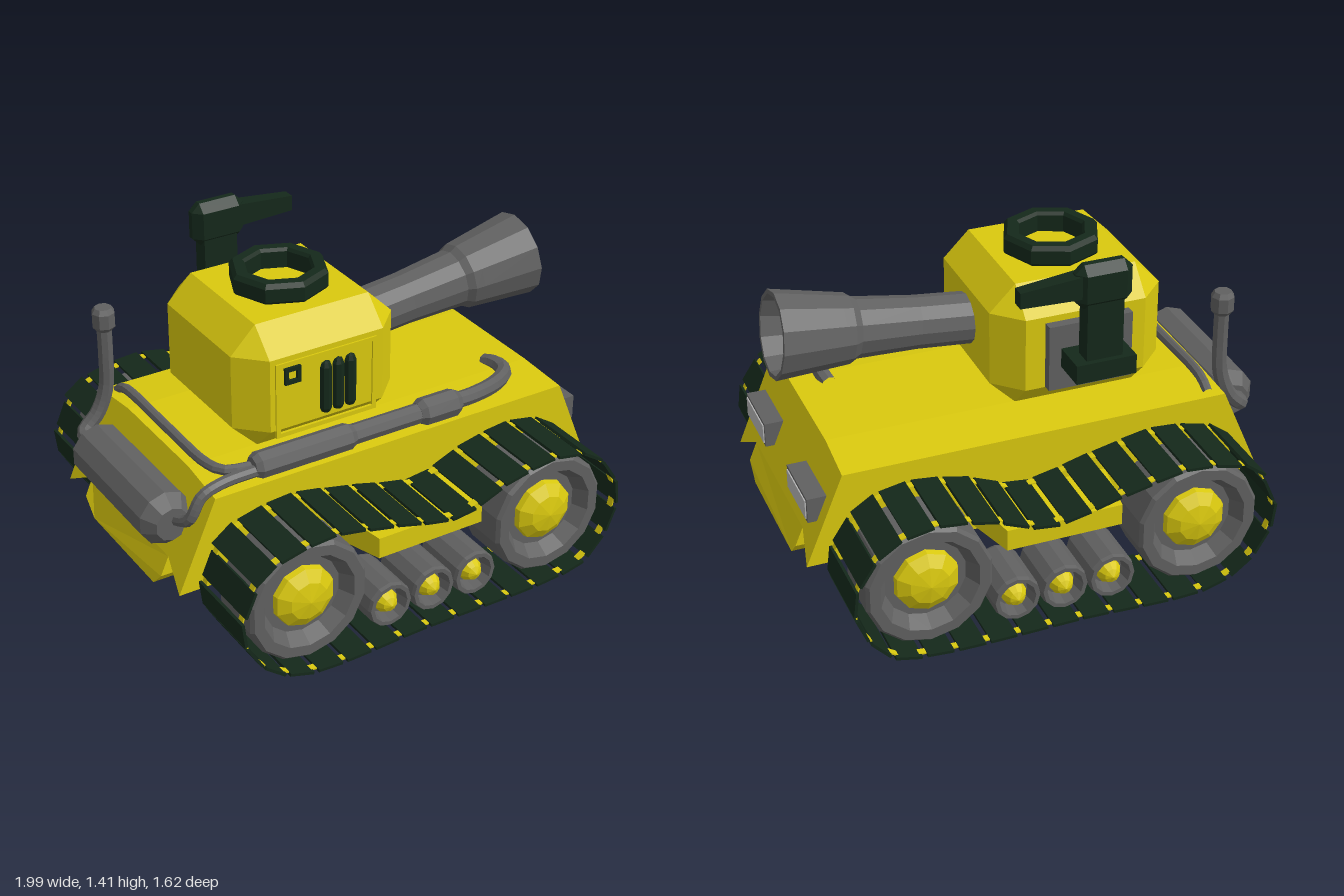
import * as THREE from 'three';
import { mergeGeometries } from 'three/addons/utils/BufferGeometryUtils.js';
import { ConvexGeometry } from 'three/addons/geometries/ConvexGeometry.js';

const V = (x, y, z) => new THREE.Vector3(x, y, z);
const paint = (color, side = THREE.FrontSide) =>
  new THREE.MeshStandardMaterial({ color, flatShading: true, side });
const YELLOW = paint(0xd9c80e), GREEN = paint(0x14281a), GREY = paint(0x606060), LAMP = paint(0xb4b4b4);
const PIPE = paint(0x606060, THREE.DoubleSide);

export function createModel() {
  const tank = new THREE.Group();
  tank.name = 'tank';

  const add = (name, geometry, material, parent = tank) => {
    const mesh = new THREE.Mesh(geometry, material);
    mesh.name = name;
    parent.add(mesh);
    return mesh;
  };
  // box given by its limits
  const box = (x0, x1, y0, y1, z0, z1) =>
    new THREE.BoxGeometry(x1 - x0, y1 - y0, z1 - z0).translate((x0 + x1) / 2, (y0 + y1) / 2, (z0 + z1) / 2);
  const lathe = (profile, sides) =>
    new THREE.LatheGeometry(profile.map(([r, h]) => new THREE.Vector2(r, h)), sides);
  // box with every edge bevelled by c
  const bevelBox = (x, y, z, hx, hy, hz, c) => {
    const pts = [];
    for (const a of [-1, 1]) for (const b of [-1, 1]) for (const d of [-1, 1]) {
      pts.push(V(x + a * hx, y + b * (hy - c), z + d * (hz - c)),
        V(x + a * (hx - c), y + b * hy, z + d * (hz - c)),
        V(x + a * (hx - c), y + b * (hy - c), z + d * hz));
    }
    return new ConvexGeometry(pts);
  };
  const tube = (name, points, radius, steps = 24) =>
    add(name, new THREE.TubeGeometry(
      new THREE.CatmullRomCurve3(points.map(p => V(...p)), false, 'centripetal'), steps, radius, 8), PIPE);
  // flat rectangular frame facing +z
  const frame = (w, h, border, depth) => {
    const rect = (P, a, b) => new P([[-a, -b], [a, -b], [a, b], [-a, b]].map(p => new THREE.Vector2(...p)));
    const shape = rect(THREE.Shape, w / 2, h / 2);
    shape.holes.push(rect(THREE.Path, w / 2 - border, h / 2 - border));
    return new THREE.ExtrudeGeometry(shape, { depth, bevelEnabled: false });
  };

  // hull: cross-section run lengthwise, with sloping nose and tail
  const half = [[0.26, 0.24], [0.33, 0.31], [0.33, 0.39], [0.48, 0.31], [0.48, 0.69], [0.25, 0.71]];
  const section = [...half, ...half.map(([z, y]) => [-z, y]).reverse()].map(p => new THREE.Vector2(...p));
  const hull = new THREE.ExtrudeGeometry(new THREE.Shape(section), { depth: 1, bevelEnabled: false });
  hull.rotateY(Math.PI / 2);
  const pos = hull.attributes.position;
  for (let i = 0; i < pos.count; i++) {
    const t = THREE.MathUtils.clamp((pos.getY(i) - 0.31) / 0.4, 0, 1);
    pos.setX(i, THREE.MathUtils.lerp(-0.93 + 0.175 * t, 1.0 - 0.165 * t, pos.getX(i)));
  }
  hull.computeVertexNormals();
  add('hull', hull, YELLOW);

  // headlights
  for (const s of [1, -1]) {
    add('headlightHousing', box(0.82, 0.97, 0.47, 0.575, s * 0.29 - 0.132, s * 0.29 + 0.132), GREY);
    add('headlightLens', box(0.95, 0.975, 0.482, 0.563, s * 0.29 - 0.12, s * 0.29 + 0.12), LAMP);
  }

  // running gear
  const loop = new THREE.CatmullRomCurve3([
    [-0.74, 0.53], [-0.47, 0.6], [-0.2, 0.555], [0.13, 0.49], [0.385, 0.57], [0.6, 0.597], [0.785, 0.535],
    [0.905, 0.35], [0.88, 0.19], [0.76, 0.05], [0.6, 0.017], [0, 0.014], [-0.58, 0.017], [-0.75, 0.12],
    [-0.835, 0.3], [-0.8, 0.43]].map(([x, y]) => V(x, y, 0)), true, 'centripetal');
  const onLoop = (geometry, u, z) => {
    const p = loop.getPointAt(u % 1), t = loop.getTangentAt(u % 1);
    return geometry.rotateZ(Math.atan2(t.y, t.x)).translate(p.x, p.y, z);
  };
  const COUNT = 32;
  for (const s of [1, -1]) {
    const side = new THREE.Group();
    side.name = s > 0 ? 'leftTrack' : 'rightTrack';
    tank.add(side);

    const plates = [], links = [];
    for (let i = 0; i < COUNT; i++) {
      plates.push(onLoop(new THREE.BoxGeometry(0.108, 0.012, 0.33), i / COUNT, s * 0.647));
      for (const z of [0.505, 0.78])
        links.push(onLoop(new THREE.BoxGeometry(0.05, 0.006, 0.03), (i + 0.5) / COUNT, s * z));
    }
    add('trackPlates', mergeGeometries(plates), GREEN, side);
    add('trackLinks', mergeGeometries(links), YELLOW, side);

    // dished wheels with domed hubs
    const wheel = (name, x, y, r, hubR, z, sides) => {
      const rim = lathe([[0, 0], [r * 0.93, 0], [r, 0.015], [r, 0.235], [r * 0.95, 0.25], [r * 0.78, 0.25],
        [r * 0.64, 0.19], [0, 0.19]], sides).rotateX(s * Math.PI / 2);
      const hub = lathe([[hubR, 0.18], [hubR * 0.95, 0.215], [hubR * 0.6, 0.245], [0, 0.26]], 10)
        .rotateX(s * Math.PI / 2);
      add(name, rim.translate(x, y, s * z), GREY, side);
      add(name + 'Hub', hub.translate(x, y, s * z), YELLOW, side);
    };
    for (const x of [-0.525, 0.6]) wheel('roadWheel', x, 0.305, 0.26, 0.135, 0.515, 14);
    for (const x of [-0.157, 0.045, 0.245]) wheel('smallWheel', x, 0.147, 0.098, 0.052, 0.515, 12);

    // tapered block carrying the small wheels
    const block = [];
    for (const [z, x0, x1, y0] of [[0.46, -0.245, 0.325, 0.33], [0.74, -0.2, 0.28, 0.37]])
      for (const x of [x0, x1]) for (const y of [y0, 0.46]) block.push(V(x, y, s * z));
    add('wheelCarrier', new ConvexGeometry(block), YELLOW, side);
  }

  // turret with bevelled edges
  add('turret', bevelBox(-0.2, 0.972, 0, 0.36, 0.263, 0.36, 0.108), YELLOW);
  add('turretPanelFrame', frame(0.45, 0.32, 0.018, 0.012).translate(-0.205, 0.945, 0.355), YELLOW);
  add('turretWindow', frame(0.07, 0.07, 0.016, 0.018).translate(-0.357, 1.045, 0.355), GREEN);
  for (const x of [-0.207, -0.152, -0.097])
    add('turretVent', new THREE.CapsuleGeometry(0.025, 0.18, 2, 8).translate(x, 0.948, 0.36), GREEN);
  add('hatchRing', lathe([[0.135, 1.23], [0.19, 1.23], [0.2, 1.245], [0.2, 1.3], [0.185, 1.318],
    [0.145, 1.318], [0.135, 1.305], [0.135, 1.23]], 8).translate(-0.2, 0, 0), GREEN);

  // main gun, tilted slightly upward, bored out at the muzzle
  const gun = add('mainGun', lathe([[0, 0], [0.105, 0], [0.107, 0.28], [0.122, 0.53], [0.14, 0.56], [0.145, 0.6],
    [0.178, 0.86], [0.16, 0.86], [0.125, 0.6], [0.065, 0.52], [0, 0.52]], 12), GREY);
  gun.rotation.z = -Math.PI / 2 + 0.105;
  gun.position.set(0.1, 0.977, 0);

  // machine gun on the right side of the turret
  const mg = new THREE.Group();
  mg.name = 'machineGun';
  tank.add(mg);
  add('mountPlate', box(-0.38, -0.03, 0.82, 1.1, -0.4, -0.34), GREY, mg);
  add('mountBracket', box(-0.33, -0.08, 0.92, 1.0, -0.55, -0.39), GREEN, mg);
  add('mountPost', box(-0.28, -0.13, 0.99, 1.26, -0.528, -0.452), GREEN, mg);
  add('gunBody', bevelBox(-0.203, 1.31, -0.492, 0.117, 0.092, 0.048, 0.035), GREEN, mg);
  const barrel = [];
  for (const [x, y0, y1, h] of [[-0.12, 1.27, 1.365, 0.035], [0.14, 1.275, 1.34, 0.026]])
    for (const y of [y0, y1]) for (const z of [-h, h]) barrel.push(V(x, y, -0.492 + z));
  add('gunBarrel', new ConvexGeometry(barrel), GREEN, mg);

  // rear drum and its upright exhaust
  add('rearDrum', lathe([[0, -0.345], [0.07, -0.345], [0.115, -0.29], [0.115, 0.29], [0.07, 0.345], [0, 0.345]], 10)
    .rotateX(Math.PI / 2).translate(-0.885, 0.55, 0.015), GREY);
  tube('exhaustPipe', [[-0.9, 0.56, -0.3], [-0.89, 0.57, -0.39], [-0.82, 0.64, -0.4], [-0.78, 0.75, -0.395],
    [-0.775, 0.9, -0.39], [-0.775, 1.05, -0.39]], 0.032);
  add('exhaustCap', lathe([[0, 1.01], [0.032, 1.01], [0.048, 1.03], [0.048, 1.09], [0.035, 1.11], [0, 1.11]], 8)
    .translate(-0.775, 0, -0.39), GREY);

  // pipes along the left edge of the deck
  tube('crossPipe', [[-0.705, 0.69, -0.44], [-0.705, 0.725, -0.38], [-0.705, 0.73, 0], [-0.7, 0.73, 0.3],
    [-0.67, 0.73, 0.375], [-0.6, 0.73, 0.4], [-0.5, 0.73, 0.41]], 0.021);
  tube('drumPipe', [[-0.87, 0.55, 0.32], [-0.85, 0.6, 0.43], [-0.8, 0.69, 0.44], [-0.72, 0.72, 0.44],
    [-0.5, 0.725, 0.435]], 0.024);
  tube('deckPipe', [[-0.1, 0.735, 0.42], [0.3, 0.735, 0.415], [0.45, 0.73, 0.41], [0.6, 0.725, 0.37],
    [0.69, 0.72, 0.3], [0.7, 0.715, 0.22], [0.69, 0.7, 0.17]], 0.034);
  const sleeve = (name, x0, x1, r) => add(name, lathe([[0, x0], [r * 0.75, x0], [r, x0 + 0.025], [r, x1 - 0.025],
    [r * 0.75, x1], [0, x1]], 8).rotateZ(-Math.PI / 2).translate(0, 0.735, 0.42), GREY);
  sleeve('muffler', -0.57, -0.12, 0.055);
  sleeve('mufflerTail', -0.16, 0.22, 0.042);
  sleeve('pipeCollar', 0.18, 0.375, 0.058);

  return tank;
}
